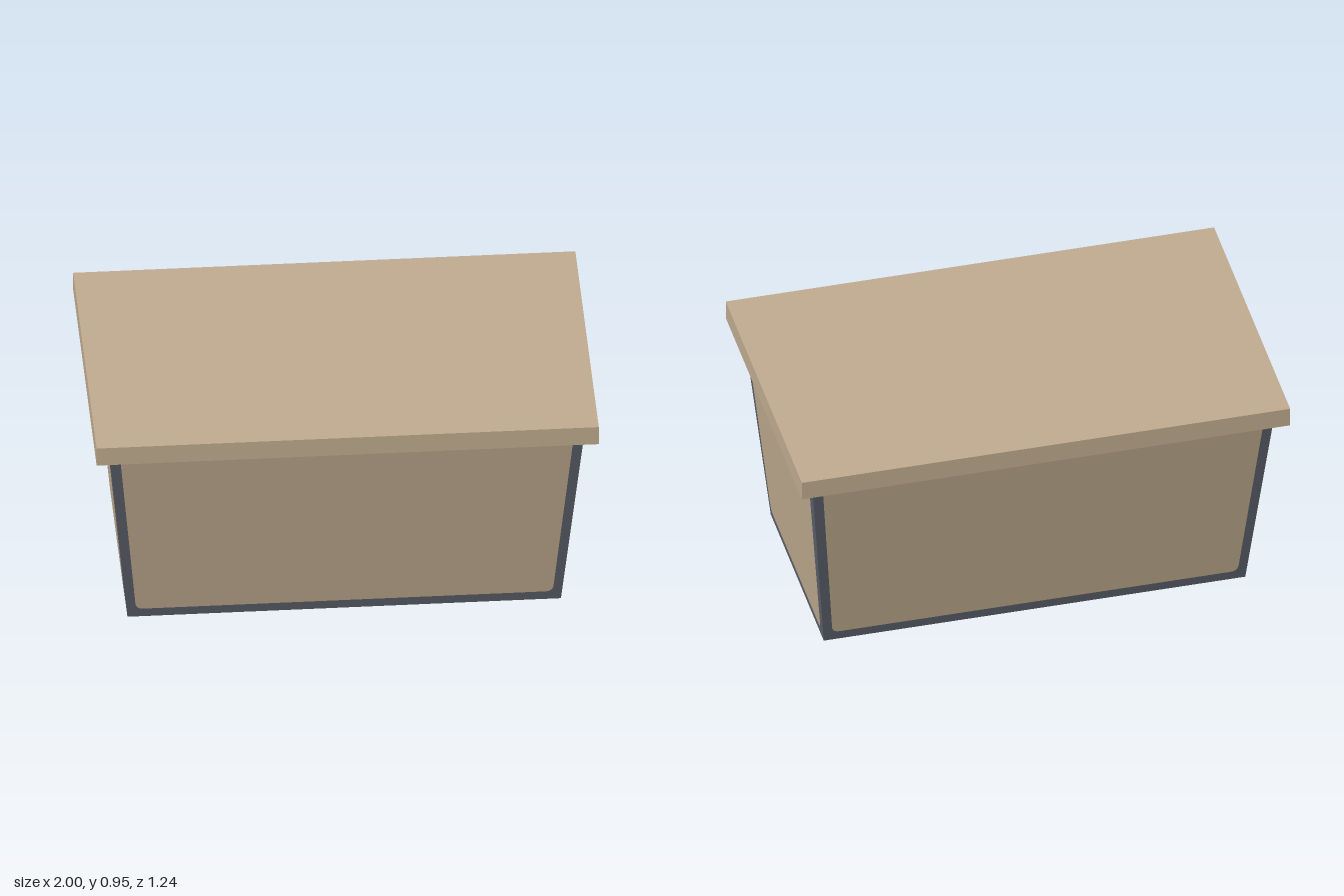
import * as THREE from 'three';

const BODY_TOP = 0.866, LID_TOP = 0.948, BASE_Y = 0.002, SKIN = 0.002;
const BOTTOM = { x: 0.863, z: 0.43 }, TOP = { x: 0.944, z: 0.57 };

// Half width or depth of the tapered body at height y
const halfAt = (axis, y) => THREE.MathUtils.lerp(BOTTOM[axis], TOP[axis], y / BODY_TOP);

// Symmetric panel outline with rounded corners (a zero radius gives a sharp corner)
function panelShape(lowHalf, highHalf, low, high, lowR, highR) {
  const corners = [[-lowHalf, low, lowR], [lowHalf, low, lowR], [highHalf, high, highR], [-highHalf, high, highR]]
    .map(([x, y, r]) => ({ p: new THREE.Vector2(x, y), r }));
  const shape = new THREE.Shape();
  corners.forEach(({ p, r }, i) => {
    const toward = (q) => q.clone().sub(p).setLength(r).add(p);
    const a = toward(corners[(i + 3) % 4].p), b = toward(corners[(i + 1) % 4].p);
    if (i === 0) shape.moveTo(a.x, a.y); else shape.lineTo(a.x, a.y);
    if (r > 0) shape.quadraticCurveTo(p.x, p.y, b.x, b.y);
  });
  shape.closePath();
  return shape;
}

export function createModel() {
  const group = new THREE.Group();
  const tan = new THREE.MeshStandardMaterial({ color: 0xbfab8f });
  tan.name = 'tan';
  const slate = new THREE.MeshStandardMaterial({ color: 0x5c606a });
  slate.name = 'slate grey';
  const add = (name, geometry, material) => {
    const mesh = new THREE.Mesh(geometry, material);
    mesh.name = name;
    group.add(mesh);
    return mesh;
  };

  // Tapered tub, seen as the frame around the panels
  const height = BODY_TOP - BASE_Y;
  const tub = new THREE.BoxGeometry(2, height, 2).translate(0, BASE_Y + height / 2, 0);
  const pos = tub.attributes.position;
  for (let i = 0; i < pos.count; i++) {
    const y = pos.getY(i);
    pos.setXYZ(i, pos.getX(i) * halfAt('x', y), y, pos.getZ(i) * halfAt('z', y));
  }
  tub.computeVertexNormals();
  add('tubFrame', tub, slate);

  // Flat lid overhanging the tub
  add('lid', new THREE.BoxGeometry(2, LID_TOP - BODY_TOP, 1.236)
    .translate(0, (LID_TOP + BODY_TOP) / 2, 0), tan);

  // Inset panels lying on the four sloping walls
  const walls = [
    ['frontPanel', 'z', 0.83, 0.903, 0],
    ['leftPanel', 'x', 0.4, 0.515, Math.PI / 2],
    ['backPanel', 'z', 0.83, 0.903, Math.PI],
    ['rightPanel', 'x', 0.4, 0.515, -Math.PI / 2],
  ];
  for (const [name, axis, low, high, turn] of walls) {
    const panel = new THREE.ShapeGeometry(panelShape(low, high, 0.044, BODY_TOP, 0.03, 0), 6);
    const p = panel.attributes.position;
    for (let i = 0; i < p.count; i++) p.setZ(i, halfAt(axis, p.getY(i)) + SKIN);
    panel.computeVertexNormals();
    add(name, panel.rotateY(turn), tan);
  }

  // Panel under the base
  const base = new THREE.ShapeGeometry(panelShape(0.825, 0.825, -0.392, 0.392, 0.03, 0.03), 6);
  add('basePanel', base.rotateX(Math.PI / 2), tan);

  return group;
}
